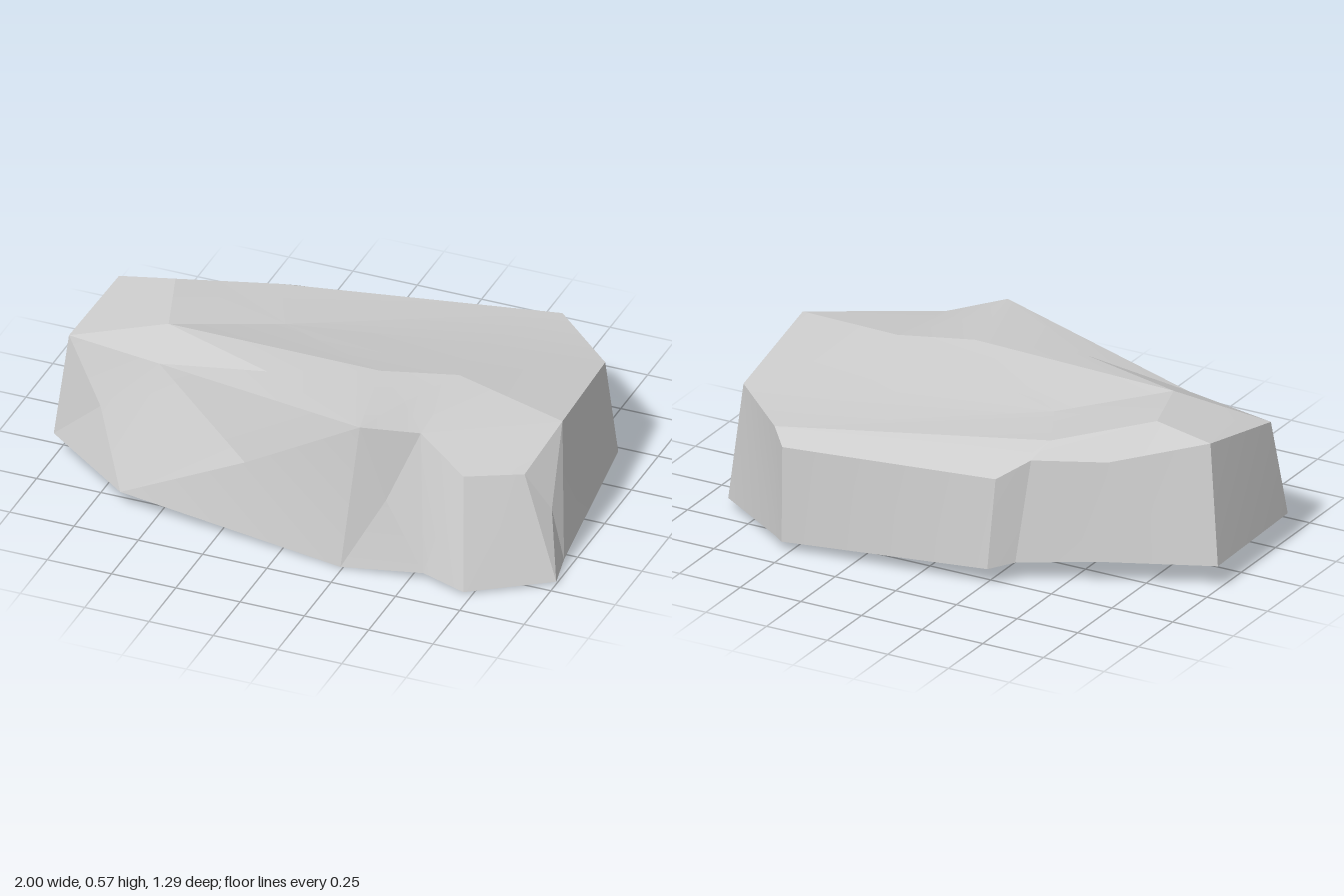
import * as THREE from 'three';
import { toCreasedNormals } from 'three/addons/utils/BufferGeometryUtils.js';

// Each station around the rock: foot x,y,z then rim x,y,z (counter-clockwise from above)
const stations = [
  [-1, 0.1, 0.34, -0.97, 0.48, 0.27],
  [-0.65, 0.06, 0.56, -0.59, 0.49, 0.34],
  [0.24, 0, 0.64, 0.29, 0.565, 0.58],
  [0.55, 0.03, 0.61, 0.48, 0.52, 0.465],
  [0.72, 0.01, 0.645, 0.66, 0.4, 0.5],
  [1, 0.01, 0.45, 0.85, 0.39, 0.385],
  [0.98, 0.03, 0.33, 0.92, 0.525, 0.2],
  [0.88, 0.04, -0.415, 0.865, 0.46, -0.33],
  [0.57, 0.04, -0.62, 0.59, 0.455, -0.59],
  [0.53, 0.035, -0.645, 0.53, 0.405, -0.64],
  [-0.27, 0.07, -0.56, -0.27, 0.4, -0.5],
  [-0.34, 0.08, -0.48, -0.36, 0.455, -0.4],
  [-0.6, 0.09, -0.35, -0.61, 0.455, -0.28],
  [-1, 0.09, -0.17, -0.93, 0.53, -0.1],
];
const foot = stations.map((s) => s.slice(0, 3));
const rim = stations.map((s) => s.slice(3));

// Ridge, shoulder and hollow points on the top
const peak = [-0.71, 0.57, -0.1];
const ridgeA = [-0.62, 0.56, 0.18];
const ridgeB = [0.21, 0.57, 0.2];
const ridgeC = [0.48, 0.565, 0.11];
const shoulder = [-0.39, 0.505, -0.31];
const hollow = [-0.27, 0.5, -0.07];

// Faceted mesh: triangles as they are, quads as a fan about their middle
function facetedMesh(name, polygons) {
  const positions = [];
  for (const p of polygons) {
    if (p.length === 3) {
      positions.push(...p.flat());
      continue;
    }
    const middle = [0, 1, 2].map((k) => p.reduce((sum, v) => sum + v[k], 0) / p.length);
    p.forEach((v, i) => positions.push(...v, ...p[(i + 1) % p.length], ...middle));
  }
  const geometry = new THREE.BufferGeometry();
  geometry.setAttribute('position', new THREE.Float32BufferAttribute(positions, 3));
  const material = new THREE.MeshStandardMaterial({ color: 0xcccccc, side: THREE.DoubleSide });
  const mesh = new THREE.Mesh(toCreasedNormals(geometry, 0.2), material);
  mesh.name = name;
  return mesh;
}

export function createModel() {
  const group = new THREE.Group();
  group.name = 'rock';

  // Side walls, open underneath
  const walls = stations.map((_, i) => {
    const j = (i + 1) % stations.length;
    return [foot[i], foot[j], rim[j], rim[i]];
  });
  group.add(facetedMesh('rockSides', walls));

  // Top: front slopes, low shelf, flat, back bevel and shallow hollow
  const r = rim;
  group.add(facetedMesh('rockTop', [
    [r[0], r[1], ridgeA],
    [r[1], r[2], ridgeB, ridgeA],
    [r[2], r[3], ridgeC, ridgeB],
    [r[3], r[6], ridgeC],
    [r[3], r[4], r[5], r[6]],
    [r[6], r[7], ridgeC],
    [r[7], r[8], hollow, ridgeC],
    [r[8], shoulder, hollow],
    [r[8], r[9], r[10], shoulder],
    [r[10], r[11], shoulder],
    [r[11], r[12], peak, shoulder],
    [shoulder, peak, hollow],
    [peak, ridgeA, hollow],
    [ridgeA, ridgeB, hollow],
    [ridgeB, ridgeC, hollow],
    [r[12], r[13], peak],
    [r[13], r[0], ridgeA, peak],
  ]));
  return group;
}
